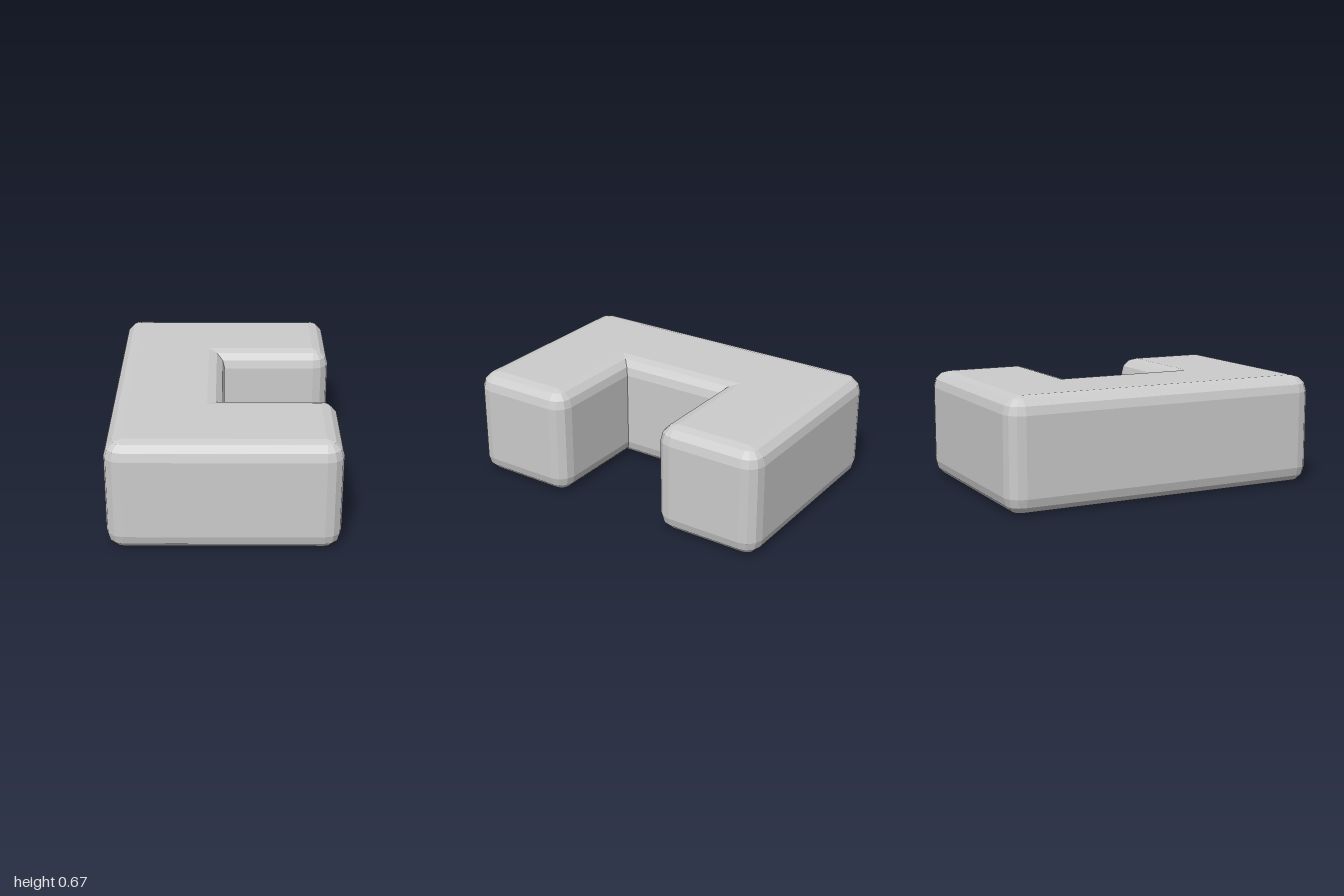
import * as THREE from 'three';

const R = 0.1;         // edge rounding radius
const SEG = 3;         // facets per quarter round
const H = 2 / 3;       // height

// C-shaped core outline, inset by R, counter-clockwise seen from above (x, -z)
const CORE = [
  [-0.567, -0.9], [0.567, -0.9], [0.567, -0.433], [-0.1, -0.433],
  [-0.1, 0.433], [0.567, 0.433], [0.567, 0.9], [-0.567, 0.9],
].map(([x, y]) => new THREE.Vector2(x, y));

// Outline columns: a fan of directions at convex corners, one mitre at concave ones
function outlineColumns() {
  const columns = [];
  CORE.forEach((p, i) => {
    const into = p.clone().sub(CORE[(i + CORE.length - 1) % CORE.length]).normalize();
    const out = CORE[(i + 1) % CORE.length].clone().sub(p).normalize();
    const n1 = new THREE.Vector2(into.y, -into.x);
    const n2 = new THREE.Vector2(out.y, -out.x);
    if (into.cross(out) < 0) {
      columns.push({ p, dir: n1.add(n2) });
      return;
    }
    for (let k = 0; k <= SEG; k++) {
      const a = (k / SEG) * Math.PI / 2;
      const dir = n1.clone().multiplyScalar(Math.cos(a)).addScaledVector(n2, Math.sin(a));
      columns.push({ p, dir });
    }
  });
  return columns;
}

function roundedBlockGeometry() {
  const positions = [];
  const tri = (a, b, c) => {
    const area = b.clone().sub(a).cross(c.clone().sub(a)).length();
    if (area > 1e-8) for (const v of [a, b, c]) positions.push(v.x, v.y, v.z);
  };

  // Rings from the bottom face, round the lower edge, up the wall and over the upper edge
  const levels = [];
  for (let k = 0; k <= SEG; k++) {
    const a = (k / SEG) * Math.PI / 2;
    levels.push([R * Math.sin(a), R - R * Math.cos(a)]);
  }
  for (let k = SEG; k >= 0; k--) levels.push([levels[k][0], H - levels[k][1]]);

  const columns = outlineColumns();
  const rings = levels.map(([offset, y]) => columns.map(({ p, dir }) =>
    new THREE.Vector3(p.x + dir.x * offset, y, -(p.y + dir.y * offset))));
  for (let j = 0; j < rings.length - 1; j++) {
    for (let i = 0; i < columns.length; i++) {
      const n = (i + 1) % columns.length;
      const a = rings[j][i], b = rings[j][n], c = rings[j + 1][n], d = rings[j + 1][i];
      tri(a, b, c);
      tri(a, c, d);
    }
  }

  // Flat top and bottom
  const at = (i, y) => new THREE.Vector3(CORE[i].x, y, -CORE[i].y);
  for (const [a, b, c] of THREE.ShapeUtils.triangulateShape(CORE, [])) {
    tri(at(a, H), at(b, H), at(c, H));
    tri(at(a, 0), at(c, 0), at(b, 0));
  }

  const geometry = new THREE.BufferGeometry();
  geometry.setAttribute('position', new THREE.Float32BufferAttribute(positions, 3));
  geometry.computeVertexNormals();
  return geometry;
}

export function createModel() {
  const group = new THREE.Group();
  group.name = 'roundedCBlock';
  const material = new THREE.MeshStandardMaterial({ color: 0xcccccc, flatShading: true });
  const block = new THREE.Mesh(roundedBlockGeometry(), material);
  block.name = 'block';
  group.add(block);
  return group;
}
